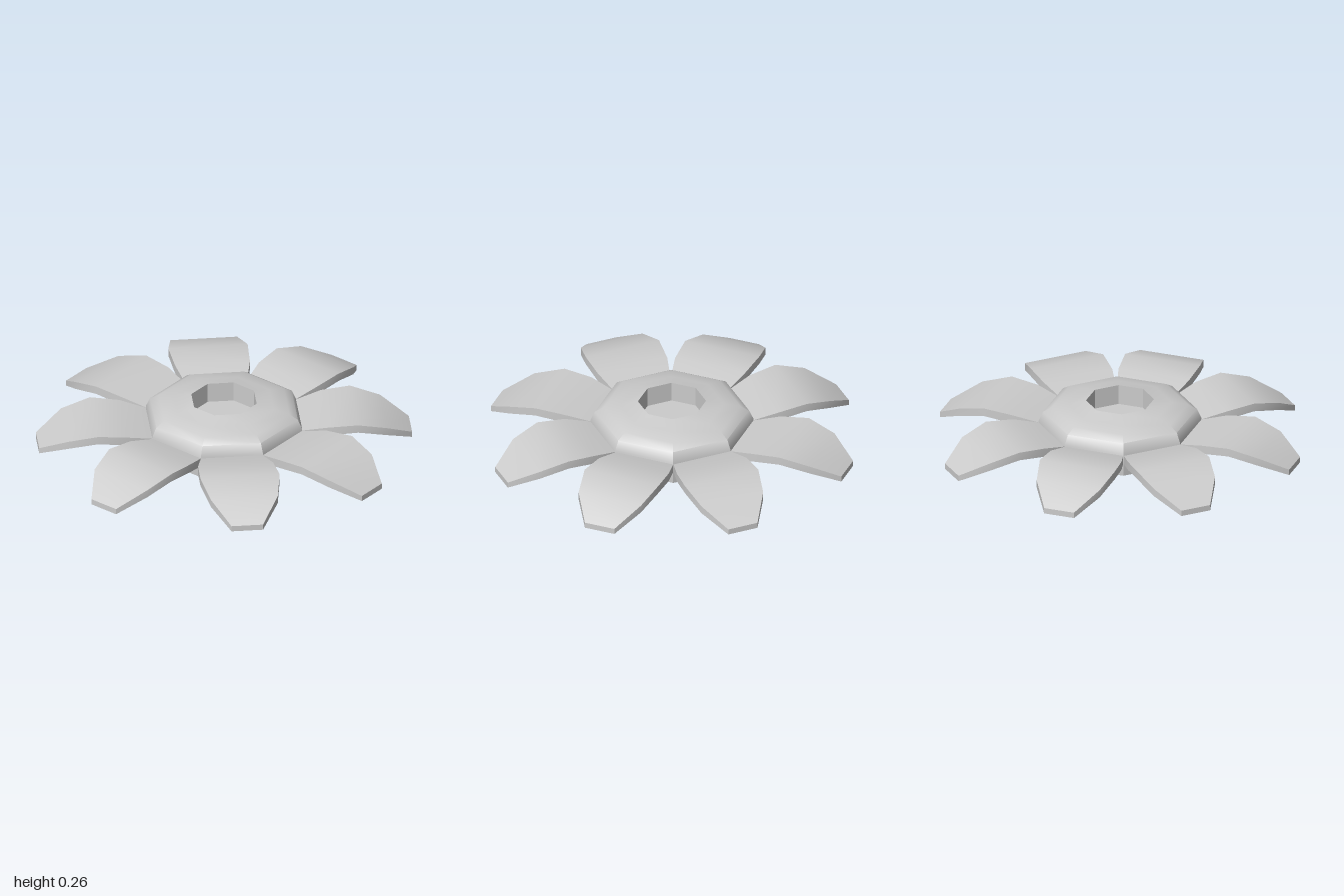
import * as THREE from 'three';
import { toCreasedNormals } from 'three/addons/utils/BufferGeometryUtils.js';

const CREASE = 0.7;
const material = new THREE.MeshStandardMaterial({ color: 0xcccccc });

// Petal stations from base to tip: distance, top height, thickness, edge offsets
const STATIONS = [
  [0.42, 0.125, 0.05, 0.174, -0.172],
  [0.565, 0.16, 0.05, 0.206, -0.215],
  [0.728, 0.176, 0.047, 0.21, -0.235],
  [0.893, 0.131, 0.045, 0.169, -0.206],
  [1.044, 0.042, 0.033, 0.069, -0.108],
];

// Curved slab swept through four-cornered sections, closed at both ends
function petalGeometry(mirrored) {
  const positions = [];
  const index = [];
  for (const [u, top, thick, a, b] of STATIONS) {
    const hi = mirrored ? -b : a;
    const lo = mirrored ? -a : b;
    positions.push(u, top, hi, u, top, lo, u, top - thick, lo, u, top - thick, hi);
  }
  const quad = (a, b, c, d) => index.push(a, b, c, a, c, d);
  const last = (STATIONS.length - 1) * 4;
  for (let k = 0; k < last; k += 4) {
    for (let c = 0; c < 4; c++) {
      const n = (c + 1) % 4;
      quad(k + c, k + 4 + c, k + 4 + n, k + n);
    }
  }
  quad(0, 1, 2, 3);
  quad(last, last + 3, last + 2, last + 1);
  const geometry = new THREE.BufferGeometry();
  geometry.setAttribute('position', new THREE.Float32BufferAttribute(positions, 3));
  geometry.setIndex(index);
  return toCreasedNormals(geometry, CREASE);
}

// Eight-sided domed centre with a sunken well in the top
function centreGeometry() {
  const profile = [
    [0, 0], [0.45, 0], [0.455, 0.06], [0.455, 0.135], [0.43, 0.19],
    [0.38, 0.22], [0.29, 0.235], [0.19, 0.256], [0.19, 0.14], [0, 0.14],
  ].map(([r, y]) => new THREE.Vector2(r, y));
  return toCreasedNormals(new THREE.LatheGeometry(profile, 8), CREASE);
}

export function createModel() {
  const model = new THREE.Group();
  model.name = 'flower';

  const centre = new THREE.Mesh(centreGeometry(), material);
  centre.name = 'flowerCentre';
  model.add(centre);

  // Opposite quadrants share a petal; neighbouring quadrants use its mirror image
  const petals = new THREE.Group();
  petals.name = 'petals';
  const shapes = [petalGeometry(false), petalGeometry(true)];
  for (let i = 0; i < 8; i++) {
    const petal = new THREE.Mesh(shapes[Math.floor(i / 2) % 2], material);
    petal.rotation.y = -(i + 0.5) * Math.PI / 4;
    petal.name = `petal${i + 1}`;
    petals.add(petal);
  }
  model.add(petals);
  return model;
}
